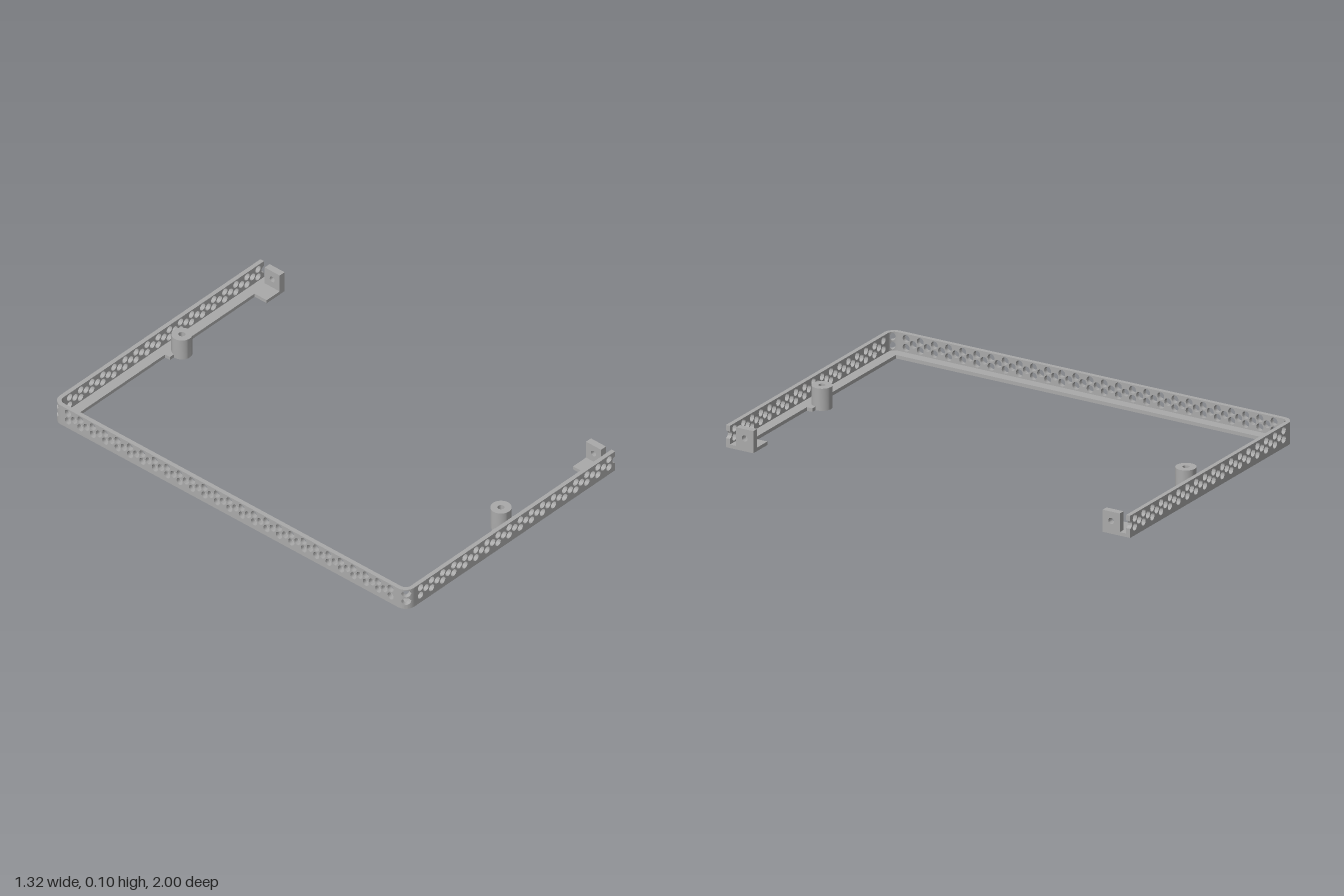
import * as THREE from 'three';
import { toCreasedNormals } from 'three/addons/utils/BufferGeometryUtils.js';

const X = 0.658, H = 0.1;          // half width, full height
const FLOOR = 0.016, WALL = 0.02;  // plate thicknesses
const R = 0.05;                    // outer corner radius
const HOLE = 0.017, PITCH = 0.07;
const LOW = 0.038, MID = 0.058, HIGH = 0.078; // hole rows

const grey = new THREE.MeshStandardMaterial({ color: 0xaaaaaa });
grey.name = 'grey';

function extrude(shape, depth, curveSegments = 8) {
  return new THREE.ExtrudeGeometry(shape, { depth, curveSegments, bevelEnabled: false });
}

function mesh(name, geometry) {
  const m = new THREE.Mesh(toCreasedNormals(geometry, 0.6), grey);
  m.name = name;
  return m;
}

function punch(shape, x, y, r = HOLE) {
  const hole = new THREE.Path();
  hole.absarc(x, y, r, 0, Math.PI * 2, true);
  shape.holes.push(hole);
}

function rect(x0, y0, x1, y1) {
  return new THREE.Shape([[x0, y0], [x1, y0], [x1, y1], [x0, y1]].map(p => new THREE.Vector2(...p)));
}

// Three staggered rows of holes
function perforate(shape, start, count) {
  for (let i = 0; i < count; i++) {
    const x = start + i * PITCH;
    punch(shape, x, LOW);
    punch(shape, x, HIGH);
    if (i < count - 1) punch(shape, x + PITCH / 2, MID);
  }
}

// Flat base ledge: a U with rounded outer corners, boss tabs and end pads
function floorGeometry() {
  const inner = [
    [X, 0.864], [0.545, 0.864], [0.545, 0.932],
    [0.12, 0.932], [0.12, 0.905], [0.08, 0.905], [0.08, 0.925],
    [0.02, 0.925], [0.02, 0.905], [-0.02, 0.905], [-0.02, 0.932],
    [-0.592, 0.932],
  ];
  const s = new THREE.Shape();
  s.moveTo(X, 1);
  s.lineTo(-X + R, 1);
  s.absarc(-X + R, 1 - R, R, Math.PI / 2, Math.PI, false);
  s.lineTo(-X, -1 + R);
  s.absarc(-X + R, -1 + R, R, Math.PI, Math.PI * 1.5, false);
  s.lineTo(X, -1);
  for (const [x, z] of inner) s.lineTo(x, -z);
  for (const [x, z] of inner.slice().reverse()) s.lineTo(x, z);
  return extrude(s, FLOOR, 12).rotateX(Math.PI / 2).translate(0, FLOOR, 0);
}

// Side wall, its free end cut through the last hole of the middle row
function armWallGeometry() {
  const s = new THREE.Shape();
  s.moveTo(-X + R, FLOOR);
  s.lineTo(X, FLOOR);
  s.lineTo(X, MID - HOLE);
  s.absarc(X, MID, HOLE, -Math.PI / 2, Math.PI / 2, true);
  s.lineTo(X, H);
  s.lineTo(-X + R, H);
  perforate(s, -0.57, 18);
  return extrude(s, WALL);
}

// One band of a rounded corner wall; bands leave two round holes between them
function cornerBand(band, startAngle, cz) {
  const g = new THREE.BoxGeometry(1, 1, 1, 24, 1, 1);
  const p = g.attributes.position;
  for (let i = 0; i < p.count; i++) {
    const u = p.getX(i) + 0.5;
    const d = (u - 0.5) * (Math.PI / 2) * (R - WALL / 2);
    const h = Math.sqrt(Math.max(0, HOLE * HOLE - d * d));
    const lo = [FLOOR, LOW + h, HIGH + h][band];
    const hi = [LOW - h, HIGH - h, H][band];
    const r = R - WALL * (0.5 - p.getZ(i));
    const a = startAngle - u * Math.PI / 2;
    p.setXYZ(i, -X + R + r * Math.cos(a), p.getY(i) > 0 ? hi : lo, cz + r * Math.sin(a));
  }
  g.computeVertexNormals();
  return g;
}

export function createModel() {
  const model = new THREE.Group();
  model.name = 'perforatedFrame';
  model.add(mesh('floorLedge', floorGeometry()));

  // Long back wall
  const back = rect(-1 + R, FLOOR, 1 - R, H);
  perforate(back, -0.91, 27);
  model.add(mesh('longWall', extrude(back, WALL).rotateY(Math.PI / 2).translate(-X, 0, 0)));

  for (const side of [1, -1]) {
    const label = side > 0 ? 'front' : 'back';

    const arm = mesh(label + 'ArmWall', armWallGeometry());
    arm.position.z = side > 0 ? 1 - WALL : -1;
    model.add(arm);

    const corner = new THREE.Group();
    corner.name = label + 'Corner';
    for (let band = 0; band < 3; band++) {
      const m = new THREE.Mesh(
        cornerBand(band, side > 0 ? Math.PI : Math.PI * 1.5, side * (1 - R)), grey);
      m.name = 'cornerBand';
      corner.add(m);
    }
    model.add(corner);

    // Hollow screw boss
    const ring = new THREE.Shape();
    ring.absarc(0, 0, 0.045, 0, Math.PI * 2, false);
    punch(ring, 0, 0, 0.015);
    const boss = mesh(label + 'Boss', extrude(ring, H, 16).rotateX(Math.PI / 2));
    boss.position.set(0.05, H, side * 0.9);
    model.add(boss);

    // Upright end plate with a screw hole
    const plate = rect(-0.0425, FLOOR, 0.0425, H);
    punch(plate, 0, MID, 0.014);
    const end = mesh(label + 'EndPlate', extrude(plate, 0.031).rotateY(Math.PI / 2));
    end.position.set(X - 0.031, 0, side * 0.9065);
    model.add(end);
  }
  return model;
}
